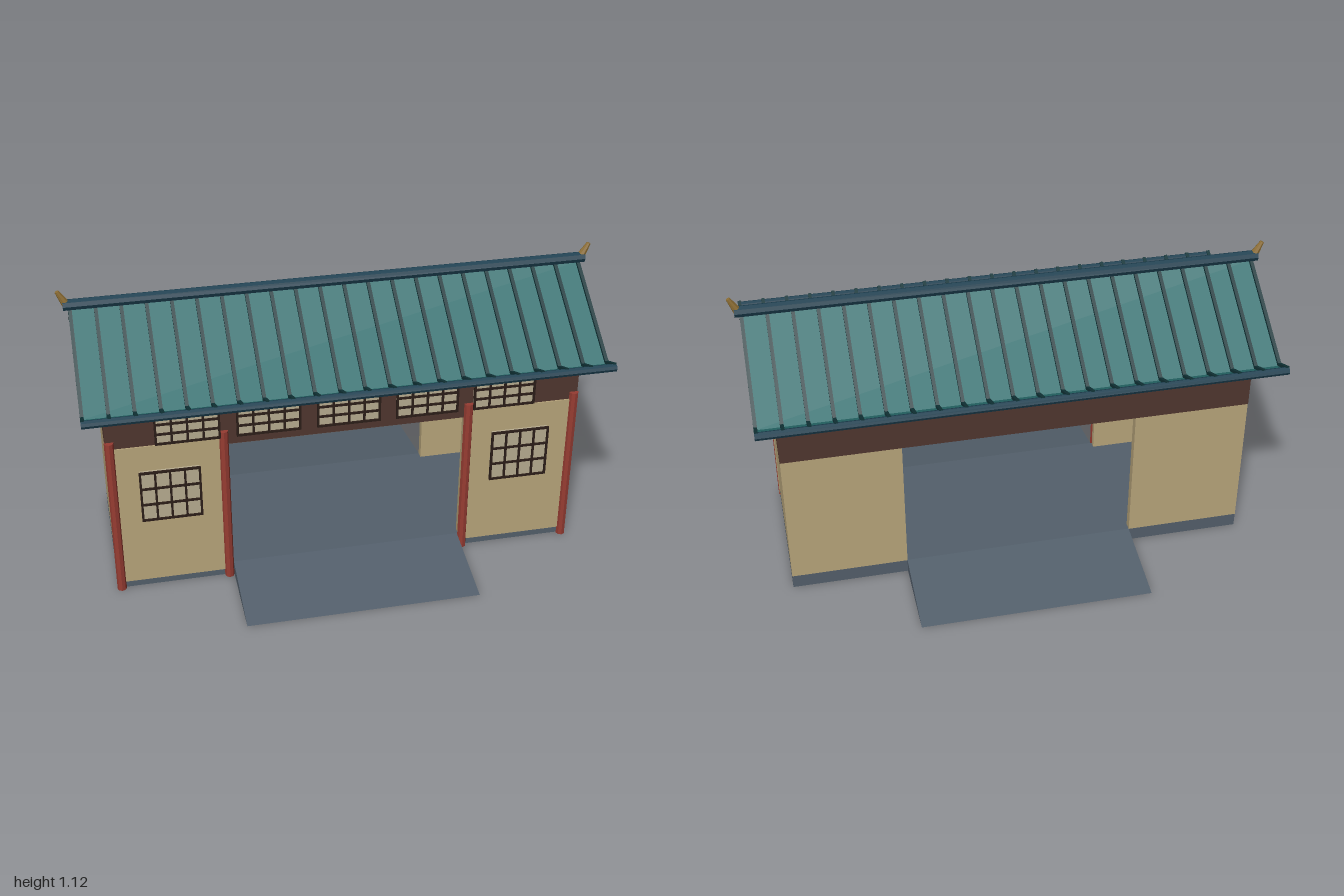
import * as THREE from 'three';

const mat = (color) => new THREE.MeshStandardMaterial({ color, flatShading: true });
const M = {
  stone: mat(0x535f6b), wall: mat(0xb8a57b), beam: mat(0x50362f), post: mat(0x963c32),
  paper: mat(0xb8ad90), lattice: mat(0x2b1d18), tile: mat(0x286c6c), rib: mat(0x12363a),
  ridge: mat(0x1b3f50), gold: mat(0x8c6d33), wood: mat(0x7a4a2c),
};

function add(parent, name, geometry, material, x = 0, y = 0, z = 0) {
  const mesh = new THREE.Mesh(geometry, material);
  mesh.name = name;
  mesh.position.set(x, y, z);
  parent.add(mesh);
  return mesh;
}

// Box given by its limits on each axis
function box(parent, name, material, [x0, x1], [y0, y1], [z0, z1]) {
  return add(parent, name, new THREE.BoxGeometry(x1 - x0, y1 - y0, z1 - z0), material,
    (x0 + x1) / 2, (y0 + y1) / 2, (z0 + z1) / 2);
}

// Extrudes a (z, y) outline along x, centred on x = 0
function alongX(points, width) {
  const shape = new THREE.Shape(points.map(([z, y]) => new THREE.Vector2(z, y)));
  const g = new THREE.ExtrudeGeometry(shape, { depth: width, bevelEnabled: false });
  return g.translate(0, 0, -width / 2).rotateY(-Math.PI / 2);
}

// Symmetric bent roof section between an upper and a lower line (apex to eave)
function roofSection(top, bottom) {
  const full = (half) => [...half.slice(1).reverse().map(([z, y]) => [-z, y]), ...half];
  return [...full(bottom), ...full(top).reverse()];
}

// Paper window with a lattice of bars
function latticeWindow(name, x, y, z, w, h, cols, rows, depth) {
  const g = new THREE.Group();
  g.name = name;
  g.position.set(x, y, z);
  const t = 0.008;
  add(g, 'paper', new THREE.BoxGeometry(w, h, depth), M.paper, 0, 0, depth / 2);
  for (let i = 0; i <= cols; i++)
    add(g, 'uprightBar', new THREE.BoxGeometry(t, h + t, 0.008), M.lattice, -w / 2 + (w * i) / cols, 0, depth + 0.002);
  for (let j = 0; j <= rows; j++)
    add(g, 'crossBar', new THREE.BoxGeometry(w + t, t, 0.008), M.lattice, 0, -h / 2 + (h * j) / rows, depth + 0.002);
  return g;
}

export function createModel() {
  const model = new THREE.Group();
  model.name = 'gatehouse';

  // Floor slab and ramps
  box(model, 'floor', M.stone, [-0.88, 0.88], [0, 0.055], [-0.29, 0.29]);
  add(model, 'frontRamp', alongX([[0.29, 0], [0.61, 0], [0.29, 0.055]], 0.88), M.stone);
  add(model, 'backRamp', alongX([[-0.61, 0], [-0.29, 0], [-0.29, 0.055]], 0.88), M.stone);

  // Side bays, open towards the passage
  for (const s of [-1, 1]) {
    const bay = new THREE.Group();
    bay.name = s > 0 ? 'leftBay' : 'rightBay';
    model.add(bay);
    const span = (a, b) => (s > 0 ? [a, b] : [-b, -a]);
    box(bay, 'frontWall', M.wall, span(0.445, 0.882), [0.03, 0.62], [0.261, 0.298]);
    box(bay, 'backWall', M.wall, span(0.44, 0.88), [0.055, 0.59], [-0.292, -0.262]);
    box(bay, 'endWall', M.wall, span(0.85, 0.88), [0.055, 0.59], [-0.27, 0.27]);
    bay.add(latticeWindow('wallWindow', s * 0.66, 0.415, 0.298, 0.216, 0.204, 4, 3, 0.015));

    // Front posts
    for (const x of [0.458, 0.867])
      add(bay, 'post', new THREE.CylinderGeometry(0.0175, 0.0175, 0.65, 8), M.post, s * x, 0.325, 0.295);

    // Bench
    box(bay, 'benchSeat', M.wood, span(0.58, 0.84), [0.13, 0.152], [-0.11, -0.01]);
    for (const x of [0.615, 0.795])
      box(bay, 'benchLeg', M.wood, span(x, x + 0.025), [0.055, 0.13], [-0.1, -0.02]);
  }

  // Upper beam with a row of transom windows
  box(model, 'upperBeam', M.beam, [-0.881, 0.881], [0.59, 0.765], [-0.293, 0.293]);
  for (let i = -2; i <= 2; i++)
    model.add(latticeWindow('transomWindow', i * 0.294, 0.695, 0.293, 0.228, 0.12, 4, 3, 0.018));

  // Bent roof
  const roof = new THREE.Group();
  roof.name = 'roof';
  model.add(roof);
  const top = [[0, 1.042], [0.37, 0.803], [0.442, 0.834]];
  const bottom = [[0, 1.022], [0.37, 0.785], [0.447, 0.818]];
  add(roof, 'roofSlab', alongX(roofSection(top, bottom), 1.91), M.tile);

  // Ribs over the tiles
  const ribTop = top.map(([z, y]) => [z, y + 0.012]);
  const ribGeometry = alongX(roofSection(ribTop, top.map(([z, y]) => [z, y - 0.005])), 0.013);
  for (let i = 0; i < 22; i++) add(roof, 'rib', ribGeometry, M.rib, -0.951 + (1.902 * i) / 21);

  // Ridge and eave rolls
  const roll = (name, r, length, y, z) =>
    add(roof, name, new THREE.CylinderGeometry(r, r, length, 8).rotateZ(Math.PI / 2), M.ridge, 0, y, z);
  roll('ridge', 0.021, 1.95, 1.06, 0);
  for (const s of [-1, 1]) {
    roll('eaveRoll', 0.015, 1.915, 0.826, s * 0.44);

    // Finials leaning outwards at the ridge ends
    const finial = add(roof, 'finial', new THREE.CylinderGeometry(0.008, 0.017, 0.065, 8), M.gold, s * 0.975, 1.087, 0);
    finial.rotation.z = -s * 0.5;
  }
  return model;
}
